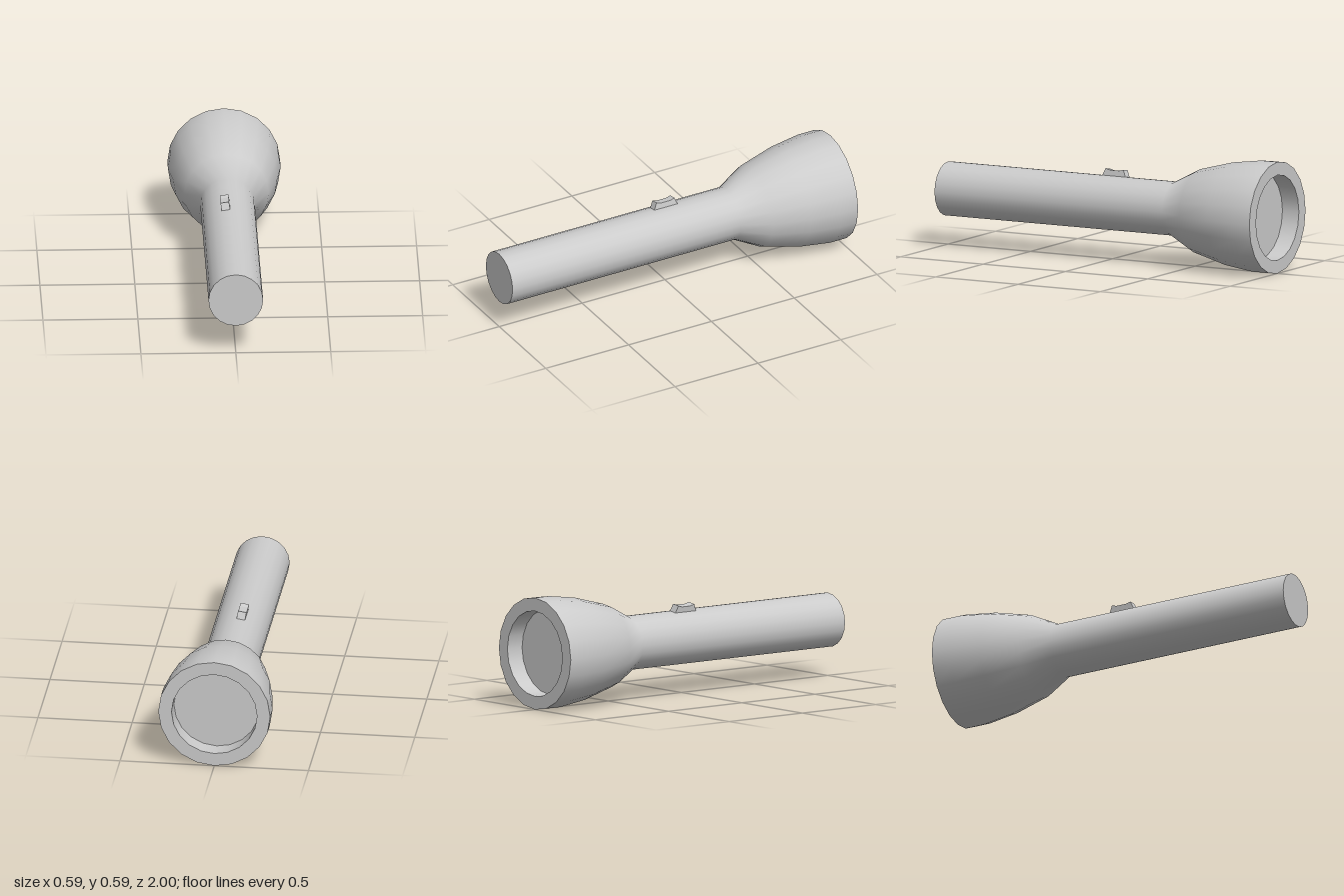
import * as THREE from 'three';

const SIDES = 20;
const AXIS_Y = 0.299;
const HANDLE_R = 0.144, HEAD_R = 0.297, LENS_R = 0.227;

export function createModel() {
  const model = new THREE.Group();
  model.name = 'flashlight';
  const material = new THREE.MeshStandardMaterial({ color: 0xcccccc });

  // Turned parts share one axis along z; profile points are [radius, z].
  const turned = new THREE.Group();
  turned.name = 'turnedBody';
  turned.position.y = AXIS_Y;
  turned.rotation.x = Math.PI / 2;
  model.add(turned);

  function addTurned(name, profile) {
    const points = profile.map(([r, z]) => new THREE.Vector2(r, z));
    const mesh = new THREE.Mesh(new THREE.LatheGeometry(points, SIDES), material);
    mesh.name = name;
    turned.add(mesh);
  }

  // Handle tube flaring into the head, smooth along its length
  addTurned('handleAndHead', [
    [HEAD_R, -1], [HEAD_R, -0.9], [0.274, -0.73], [0.222, -0.53],
    [HANDLE_R, -0.38], [HANDLE_R, 1],
  ]);
  addTurned('tailCap', [[HANDLE_R, 1], [0, 1]]);

  // Rim, recess wall and recessed lens, separate so the edges stay sharp
  addTurned('headRim', [[LENS_R, -1], [HEAD_R, -1]]);
  addTurned('recessWall', [[LENS_R, -0.9], [LENS_R, -1]]);
  addTurned('lens', [[0, -0.9], [LENS_R, -0.9]]);

  // Slide switch with a dipped top, seated on the facet just beside the top line
  const side = new THREE.Shape([
    [-0.078, -0.004], [0.065, -0.004], [0.047, 0.0375], [0.02, 0.03],
    [-0.035, 0.03], [-0.061, 0.0375],
  ].map(([z, y]) => new THREE.Vector2(z, y)));
  const width = 0.045;
  const switchGeometry = new THREE.ExtrudeGeometry(side, { depth: width, bevelEnabled: false });
  switchGeometry.translate(0, 0, -width / 2);
  switchGeometry.rotateY(-Math.PI / 2);
  const facet = Math.PI / SIDES;
  switchGeometry.translate(0, HANDLE_R * Math.cos(facet), 0);
  const slideSwitch = new THREE.Mesh(switchGeometry, material);
  slideSwitch.name = 'slideSwitch';
  slideSwitch.position.y = AXIS_Y;
  slideSwitch.rotation.z = facet;
  model.add(slideSwitch);

  return model;
}
